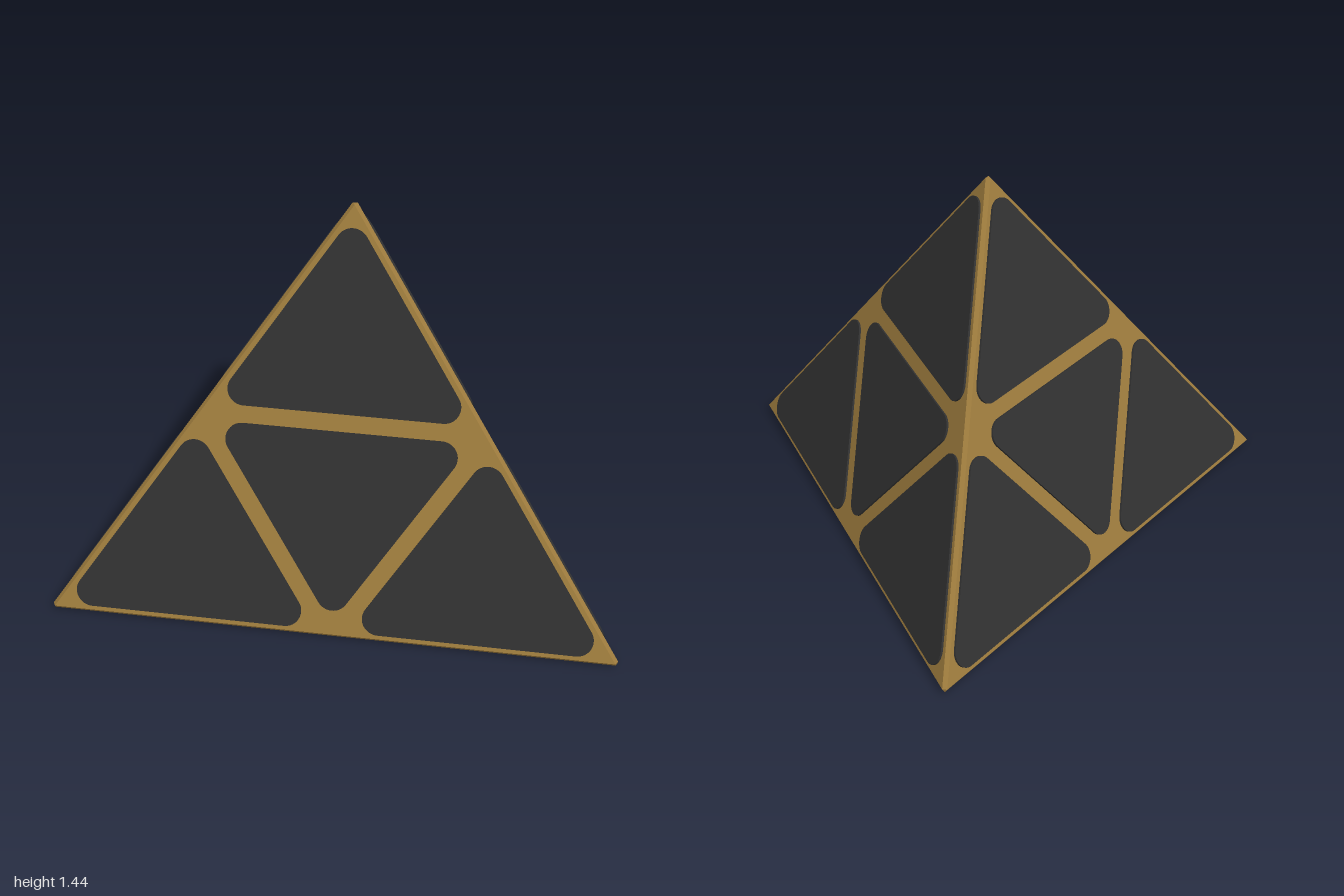
import * as THREE from 'three';
import { ConvexGeometry } from 'three/addons/geometries/ConvexGeometry.js';

const RADIUS = 1.183;     // circumradius of the sharp base triangle
const CENTRE_Z = 0.284;
const APEX_Y = 1.463;
const TILE_RISE = 0.008;  // how far the tiles stand proud of the body
const CHAMFER = 0.015;    // inset of each body face from the sharp edges
const TILE_GAP = 0.032;   // inset of each tile from its cell
const TILE_RADIUS = 0.058;

// Moves all three sides of a triangle inward by d (2D or 3D points).
function insetTriangle(points, d) {
  return points.map((p, i) => {
    const a = points[(i + 1) % 3].clone().sub(p).normalize();
    const b = points[(i + 2) % 3].clone().sub(p).normalize();
    const sine = Math.sqrt(1 - a.dot(b) ** 2);
    return p.clone().addScaledVector(a.add(b), d / sine);
  });
}

// Counter-clockwise triangle with round corners.
function roundedTriangle(points, gap, radius) {
  const centres = insetTriangle(points, gap + radius);
  const angle = (i) => points[(i + 1) % 3].clone().sub(points[i % 3]).angle();
  const shape = new THREE.Shape();
  centres.forEach((c, i) => {
    shape.absarc(c.x, c.y, radius, angle(i + 2) - Math.PI / 2, angle(i) - Math.PI / 2, false);
  });
  shape.closePath();
  return shape;
}

export function createModel() {
  const model = new THREE.Group();
  model.name = 'triangularPyramid';
  const gold = new THREE.MeshStandardMaterial({ color: 0x9c7a3c });
  const dark = new THREE.MeshStandardMaterial({ color: 0x303030 });

  // Sharp corners of the pyramid
  const baseCorner = (deg) => {
    const t = THREE.MathUtils.degToRad(deg);
    return new THREE.Vector3(RADIUS * Math.sin(t), TILE_RISE, CENTRE_Z + RADIUS * Math.cos(t));
  };
  const left = baseCorner(60), back = baseCorner(180), right = baseCorner(300);
  const apex = new THREE.Vector3(0, APEX_Y, CENTRE_Z);
  const faces = {
    front: [right, left, apex],
    left: [left, back, apex],
    right: [back, right, apex],
    bottom: [left, right, back],
  };

  // Body: hull of the inset faces, giving chamfered edges and corners
  const hull = Object.values(faces).flatMap((f) => insetTriangle(f, CHAMFER));
  const body = new THREE.Mesh(new ConvexGeometry(hull), gold);
  body.name = 'body';
  model.add(body);

  // Four raised tiles on every face
  for (const [name, [a, b, c]] of Object.entries(faces)) {
    const u = b.clone().sub(a).normalize();
    const n = u.clone().cross(c.clone().sub(a)).normalize();
    const v = n.clone().cross(u);
    const group = new THREE.Group();
    group.name = name + 'Tiles';
    group.applyMatrix4(new THREE.Matrix4().makeBasis(u, v, n).setPosition(a));

    const flat = [a, b, c].map((p) => {
      const q = p.clone().sub(a);
      return new THREE.Vector2(q.dot(u), q.dot(v));
    });
    const mids = flat.map((p, i) => p.clone().lerp(flat[(i + 1) % 3], 0.5));
    const cells = flat.map((p, i) => [p, mids[i], mids[(i + 2) % 3]]);
    cells.push(mids);
    cells.forEach((cell, i) => {
      const geometry = new THREE.ExtrudeGeometry(roundedTriangle(cell, TILE_GAP, TILE_RADIUS), {
        depth: TILE_RISE + 0.004, bevelEnabled: false, curveSegments: 10,
      });
      geometry.translate(0, 0, -0.004);
      const tile = new THREE.Mesh(geometry, dark);
      tile.name = i < 3 ? 'cornerTile' : 'centreTile';
      group.add(tile);
    });
    model.add(group);
  }
  return model;
}
